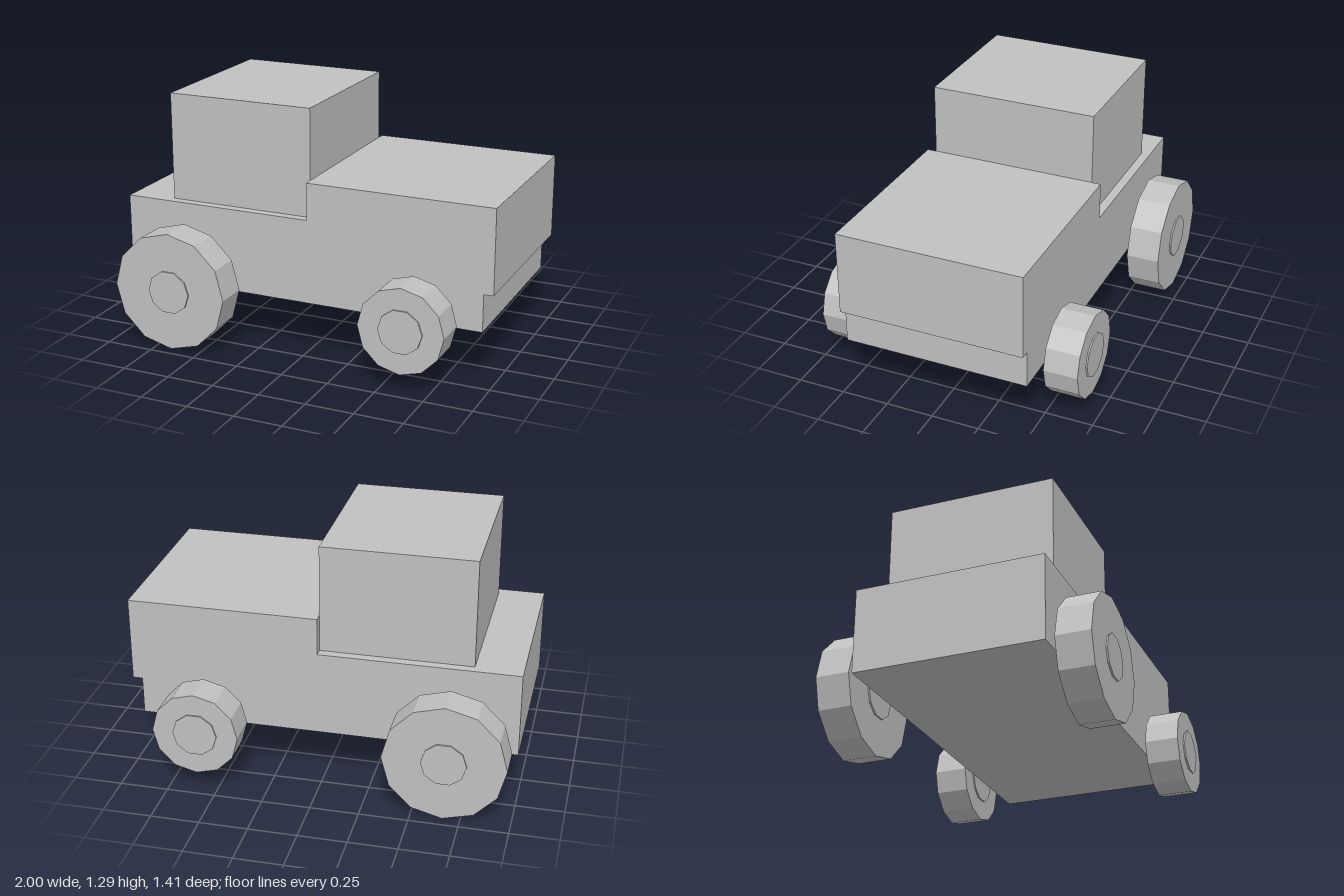
import * as THREE from 'three';

export function createModel() {
  const model = new THREE.Group();
  model.name = 'toyTruck';

  const grey = new THREE.MeshStandardMaterial({ color: 0xc0c0c0 });
  grey.name = 'grey';

  const add = (parent, name, geometry, x, y, z) => {
    const mesh = new THREE.Mesh(geometry, grey);
    mesh.name = name;
    mesh.position.set(x, y, z);
    parent.add(mesh);
  };

  // Body: stepped side profile with raised hood and recessed bumper
  const bodyWidth = 0.974;
  const profile = new THREE.Shape([
    [-1, 0.29], [0.95, 0.29], [0.95, 0.485], [1, 0.485],
    [1, 0.923], [0.02, 0.923], [0.02, 0.73], [-1, 0.73],
  ].map(([x, y]) => new THREE.Vector2(x, y)));
  const body = new THREE.ExtrudeGeometry(profile, { depth: bodyWidth, bevelEnabled: false });
  add(model, 'body', body, 0, 0, -bodyWidth / 2);

  // Cabin: plain box set in slightly from the body sides
  add(model, 'cabin', new THREE.BoxGeometry(0.78, 0.56, 0.878), -0.37, 1.01, 0);

  // Faceted disc with its axis along z and corners on the x axis
  const disc = (radius, width, sides) => {
    const geometry = new THREE.CylinderGeometry(radius, radius, width, sides, 1, false, Math.PI / 2)
      .rotateX(Math.PI / 2)
      .toNonIndexed();
    geometry.computeVertexNormals();
    return geometry;
  };

  // Wheels: large rear pair and small front pair, each with a hub through it
  const axles = [
    { name: 'rearWheel', x: -0.66, radius: 0.312 },
    { name: 'frontWheel', x: 0.607, radius: 0.223 },
  ];
  for (const { name, x, radius } of axles) {
    for (const side of [1, -1]) {
      const wheel = new THREE.Group();
      wheel.name = name;
      wheel.position.set(x, 0.314, side * 0.607);
      add(wheel, 'tyre', disc(radius, 0.176, 12), 0, 0, 0);
      add(wheel, 'hub', disc(0.115, 0.192, 10), 0, 0, 0);
      model.add(wheel);
    }
  }

  return model;
}
